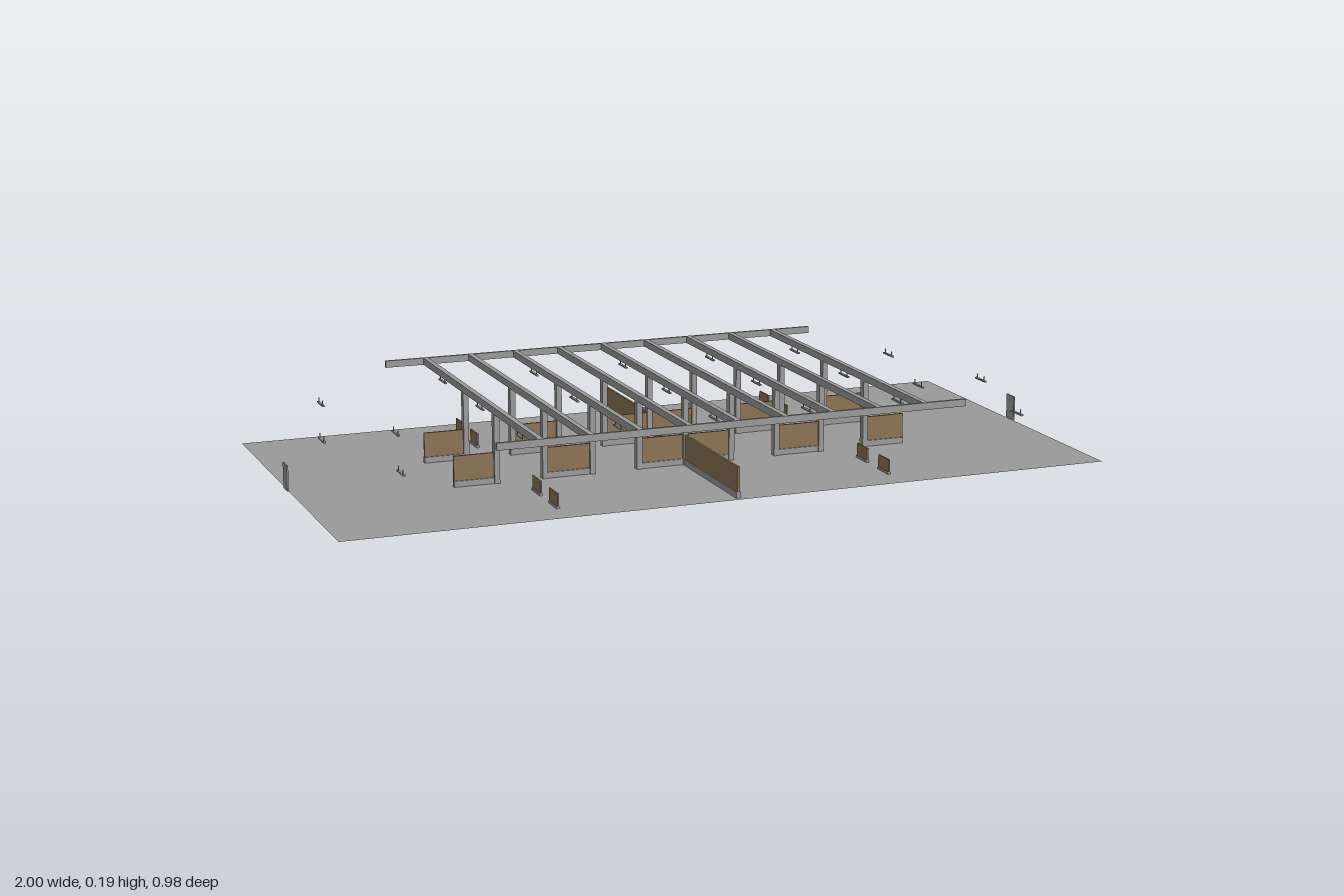
import * as THREE from 'three';

export function createModel() {
  const model = new THREE.Group();
  const gray = new THREE.MeshStandardMaterial({ color: 0x999999, side: THREE.DoubleSide });
  gray.name = 'concrete gray';
  const brown = new THREE.MeshStandardMaterial({ color: 0x8b7355 });
  brown.name = 'panel brown';

  // box given by its extents on each axis
  function box(name, mat, [x0, x1], [y0, y1], [z0, z1], parent = model) {
    const mesh = new THREE.Mesh(new THREE.BoxGeometry(x1 - x0, y1 - y0, z1 - z0), mat);
    mesh.position.set((x0 + x1) / 2, (y0 + y1) / 2, (z0 + z1) / 2);
    mesh.name = name;
    parent.add(mesh);
    return mesh;
  }
  const around = (c, w) => [c - w / 2, c + w / 2];

  // platform floor
  const floor = new THREE.Mesh(new THREE.PlaneGeometry(1.992, 0.98), gray);
  floor.rotation.x = -Math.PI / 2;
  floor.name = 'floor';
  model.add(floor);

  // roof frame: nine cross beams, each on two columns, tied by edge rails
  const pitch = 0.125, half = 0.61, depth = 0.476, row = 0.126;
  for (let i = -4; i <= 4; i++) {
    const x = i * pitch;
    box('roofBeam', gray, around(x, 0.014), [0.175, 0.193], [-depth + 0.008, depth - 0.008]);
    for (const s of [-1, 1])
      box('column', gray, around(x, 0.014), [0, 0.175], around(s * row, 0.018));
  }
  for (const s of [-1, 1])
    box('edgeRail', gray, [-half, half], [0.175, 0.193], around(s * (depth - 0.004), 0.008));

  // low walls between columns, leaving the doorway bays open
  const bays = [[-half, -0.507], [-0.368, -0.257], [-0.118, -0.007]];
  for (const [a, b] of bays)
    for (const span of [[a, b], [-b, -a]])
      for (const s of [-1, 1]) {
        box('wallPanel', brown, span, [0.015, 0.078], around(s * row, 0.006));
        box('wallBase', gray, span, [0, 0.015], around(s * row, 0.012));
      }

  // dividing walls along the centre line
  for (const s of [-1, 1]) {
    const span = s > 0 ? [0.135, depth] : [-depth, -0.135];
    box('dividerPanel', brown, around(0, 0.006), [0.015, 0.078], span);
    box('dividerBase', gray, around(0, 0.012), [0, 0.015], span);
  }

  // bench: upright brown panel on a small gray foot
  function bench(x, z, length) {
    const g = new THREE.Group();
    g.name = 'lowScreen';
    box('screenPanel', brown, around(x, 0.004), [0.006, 0.037], around(z, length), g);
    box('screenFoot', gray, around(x, 0.008), [0, 0.006], around(z, length), g);
    model.add(g);
  }
  for (const x of [-0.437, 0.437])
    for (const s of [-1, 1])
      for (const z of [0.252, 0.377]) bench(x, s * z, 0.06);
  bench(0, 0, 0.184);

  // lamp: slim bar on two short hangers
  function lamp(x, y, z) {
    const g = new THREE.Group();
    g.name = 'lamp';
    box('lampBar', gray, around(x, 0.006), around(y, 0.004), around(z, 0.056), g);
    for (const s of [-1, 1])
      box('lampHanger', gray, around(x, 0.002), [y, y + 0.013], around(z + s * 0.019, 0.002), g);
    model.add(g);
  }
  for (const x of [-0.5, -0.25, 0, 0.25, 0.5])
    for (const z of [-0.317, 0, 0.317]) lamp(x, 0.162, z);
  for (const s of [-1, 1]) {
    for (const z of [-0.372, 0.372]) lamp(s * 0.812, 0.116, z);
    lamp(s * 0.905, 0.116, 0);
    lamp(s * 0.718, 0.116, 0);
    // upright plate at each end of the floor
    box('endPlate', gray, around(s * 0.998, 0.004), [0, 0.065], around(0, 0.04));
  }
  return model;
}
